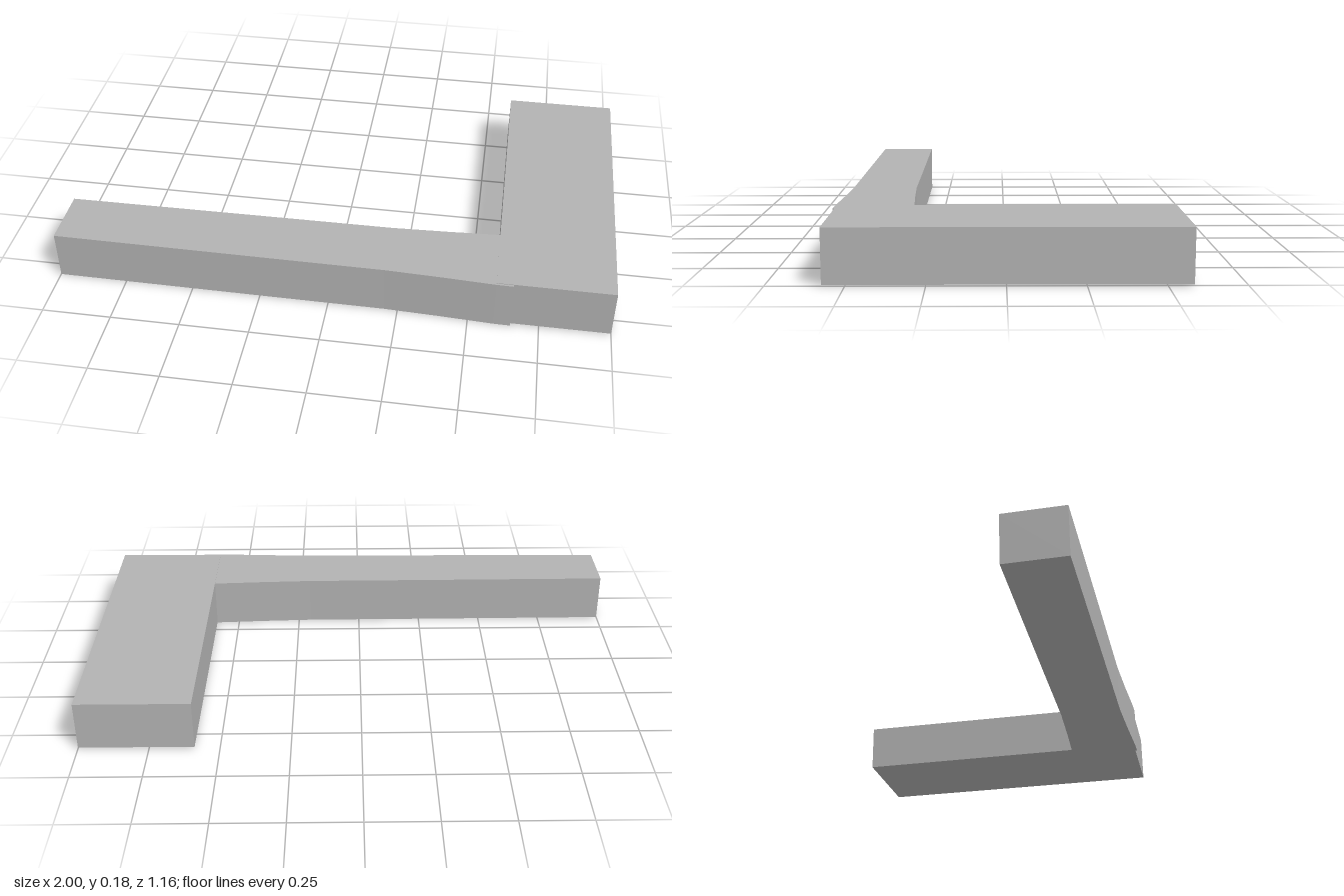
import * as THREE from 'three';

export function createModel() {
  const model = new THREE.Group();
  const grey = new THREE.MeshStandardMaterial({ color: 0xb2b2b2 });
  grey.name = 'plain grey';

  // Prism with its plan outline in [x, z], running from y0 to y1
  function slab(name, outline, y0, y1) {
    const shape = new THREE.Shape(outline.map(([x, z]) => new THREE.Vector2(x, -z)));
    const geometry = new THREE.ExtrudeGeometry(shape, { depth: y1 - y0, bevelEnabled: false });
    geometry.rotateX(-Math.PI / 2).translate(0, y0, 0);
    const mesh = new THREE.Mesh(geometry, grey);
    mesh.name = name;
    model.add(mesh);
  }

  // Heavy block across the end
  slab('head', [[0.59, 0.573], [1, 0.573], [1, -0.583], [0.59, -0.583]], 0.004, 0.185);

  // Long bar that flares where it enters the head: [x, half width]
  const centre = 0.445;
  const stations = [[-1, 0.11], [-0.2, 0.115], [0.2, 0.117], [0.4, 0.125], [0.59, 0.135], [0.65, 0.136]];
  const frontEdge = stations.map(([x, w]) => [x, centre + w]);
  const backEdge = stations.map(([x, w]) => [x, centre - w]).reverse();
  slab('handle', [...frontEdge, ...backEdge], 0, 0.183);

  return model;
}
